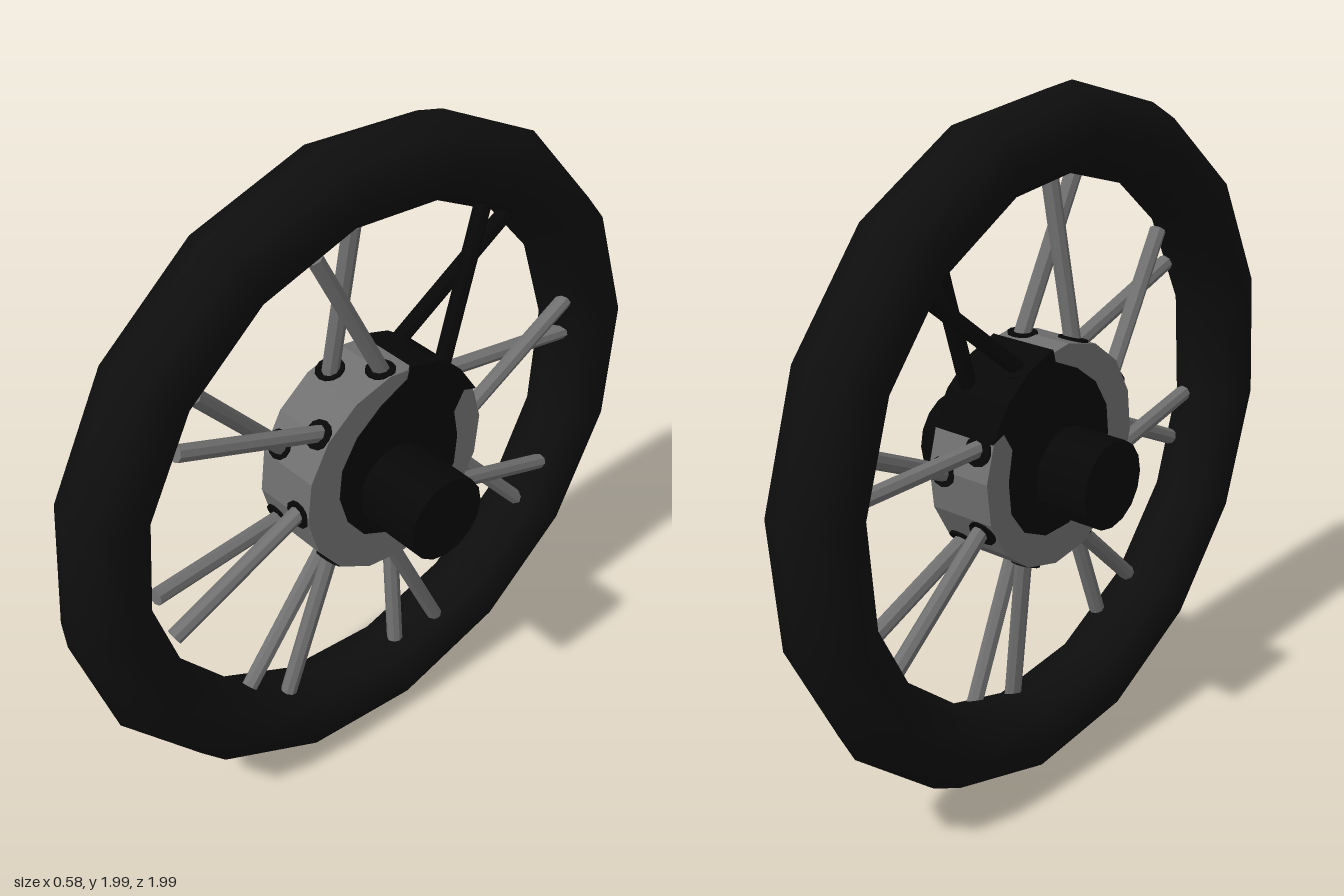
import * as THREE from 'three';

const D = Math.PI / 180;

export function createModel() {
  const steel = new THREE.MeshStandardMaterial({ color: 0x707070, flatShading: true });
  steel.name = 'grey steel';
  const rubber = new THREE.MeshStandardMaterial({ color: 0x0e0e0e });
  rubber.name = 'black rubber';
  const soot = new THREE.MeshStandardMaterial({ color: 0x070707, flatShading: true });
  soot.name = 'black grime';

  // The wheel is built in the XY plane with its axle along Z, then turned so the axle lies on X.
  const wheel = new THREE.Group();
  wheel.name = 'wheel';
  wheel.rotation.y = Math.PI / 2;
  wheel.position.y = 1;

  const add = (parent, name, geometry, material, x = 0, y = 0, z = 0) => {
    const mesh = new THREE.Mesh(geometry, material);
    mesh.name = name;
    mesh.position.set(x, y, z);
    parent.add(mesh);
    return mesh;
  };
  // Point at a clock angle in degrees from the top
  const polar = (deg, r, z) =>
    new THREE.Vector3(r * Math.sin(deg * D), r * Math.cos(deg * D), z);
  // Cylinder between two points
  const rod = (parent, name, a, b, radius, sides, material) => {
    const dir = b.clone().sub(a);
    const mesh = add(parent, name, new THREE.CylinderGeometry(radius, radius, dir.length(), sides), material);
    mesh.position.copy(a).add(b).multiplyScalar(0.5);
    mesh.quaternion.setFromUnitVectors(new THREE.Vector3(0, 1, 0), dir.normalize());
    return mesh;
  };

  // Tyre
  const tire = add(wheel, 'tire', new THREE.TorusGeometry(0.88, 0.12, 8, 16), rubber, 0, 0, -0.04);
  tire.rotation.z = 6.6 * D;

  // Axle
  add(wheel, 'axle', new THREE.CylinderGeometry(0.127, 0.127, 0.58, 16).rotateX(Math.PI / 2),
    soot, 0.015, -0.045, 0);

  // Hub, slightly off the tyre's centre
  const hub = new THREE.Group();
  hub.name = 'hub';
  hub.position.set(0.025, 0, 0);
  wheel.add(hub);
  const hubZ = -0.025, hubWidth = 0.2;
  add(hub, 'hubDrum', new THREE.CylinderGeometry(0.32, 0.32, hubWidth, 16).rotateX(Math.PI / 2),
    steel, 0, 0, hubZ).rotation.z = 4.5 * D;

  // Dark sector of the hub rim
  const from = 8, to = 66;
  add(hub, 'hubRimStain',
    new THREE.CylinderGeometry(0.325, 0.325, hubWidth + 0.006, 3, 1, true, Math.PI - to * D, (to - from) * D)
      .rotateX(Math.PI / 2), soot, 0, 0, hubZ);

  // Dark patch on both hub faces, reaching out to the rim sector
  const patch = new THREE.Shape([
    [0.045, 0.322], [0.035, 0.285], [-0.06, 0.24], [-0.145, 0.175], [-0.198, 0.09], [-0.208, 0],
    [-0.18, -0.095], [-0.123, -0.17], [-0.03, -0.213], [0.075, -0.213], [0.165, -0.17],
    [0.22, -0.095], [0.23, 0], [0.214, 0.09], [0.25, 0.148], [0.297, 0.132],
    [0.235, 0.224], [0.147, 0.29],
  ].map(([x, y]) => new THREE.Vector2(x, y)));
  const patchGeometry = new THREE.ExtrudeGeometry(patch, { depth: 0.006, bevelEnabled: false });
  for (const side of [-1, 1])
    add(hub, 'hubFaceStain', patchGeometry, soot, 0, 0, hubZ + side * hubWidth / 2 - 0.003);

  // Eight crossed pairs of spokes, with a dark socket at each base
  for (let k = 0; k < 8; k++) {
    const middle = -11.5 + 45 * k;
    for (const side of [-1, 1]) {
      const baseZ = hubZ - side * 0.055;
      rod(hub, 'spoke',
        polar(middle - side * 11.5, 0.28, baseZ),
        polar(middle + side * 5.5, 0.768, -side * 0.012),
        0.024, 8, k === 1 ? soot : steel);
      const socket = middle - side * 7.7;
      rod(hub, 'spokeSocket', polar(socket, 0.314, baseZ), polar(socket, 0.322, baseZ), 0.042, 12, soot);
    }
  }

  const model = new THREE.Group();
  model.name = 'spokedWheel';
  model.add(wheel);
  return model;
}
